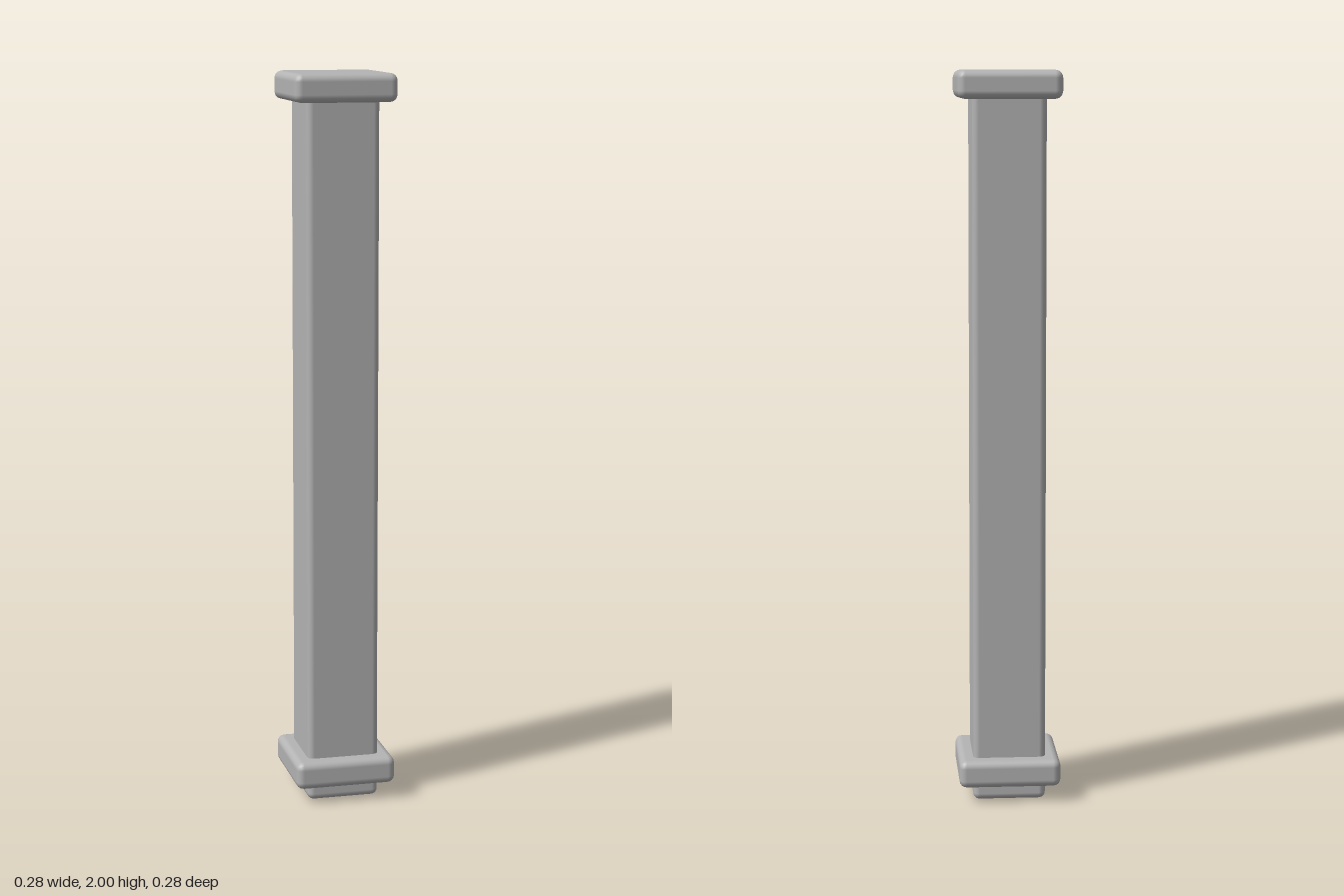
import * as THREE from 'three';
import { RoundedBoxGeometry } from 'three/addons/geometries/RoundedBoxGeometry.js';

export function createModel() {
  const model = new THREE.Group();
  model.name = 'column';
  const stone = new THREE.MeshStandardMaterial({ color: 0xb4b4b4 });
  stone.name = 'grey stone';

  // Square block with softly bevelled edges, spanning bottom to top
  function block(name, width, bottom, top, bevel) {
    const geometry = new RoundedBoxGeometry(width, top - bottom, width, 2, bevel);
    const mesh = new THREE.Mesh(geometry, stone);
    mesh.name = name;
    mesh.position.y = (bottom + top) / 2;
    model.add(mesh);
  }

  // Shaft runs through the base collar, leaving a small foot below it
  block('shaft', 0.2, 0, 1.97, 0.018);
  block('baseCollar', 0.28, 0.045, 0.122, 0.021);
  block('capital', 0.28, 1.924, 2, 0.021);

  return model;
}
